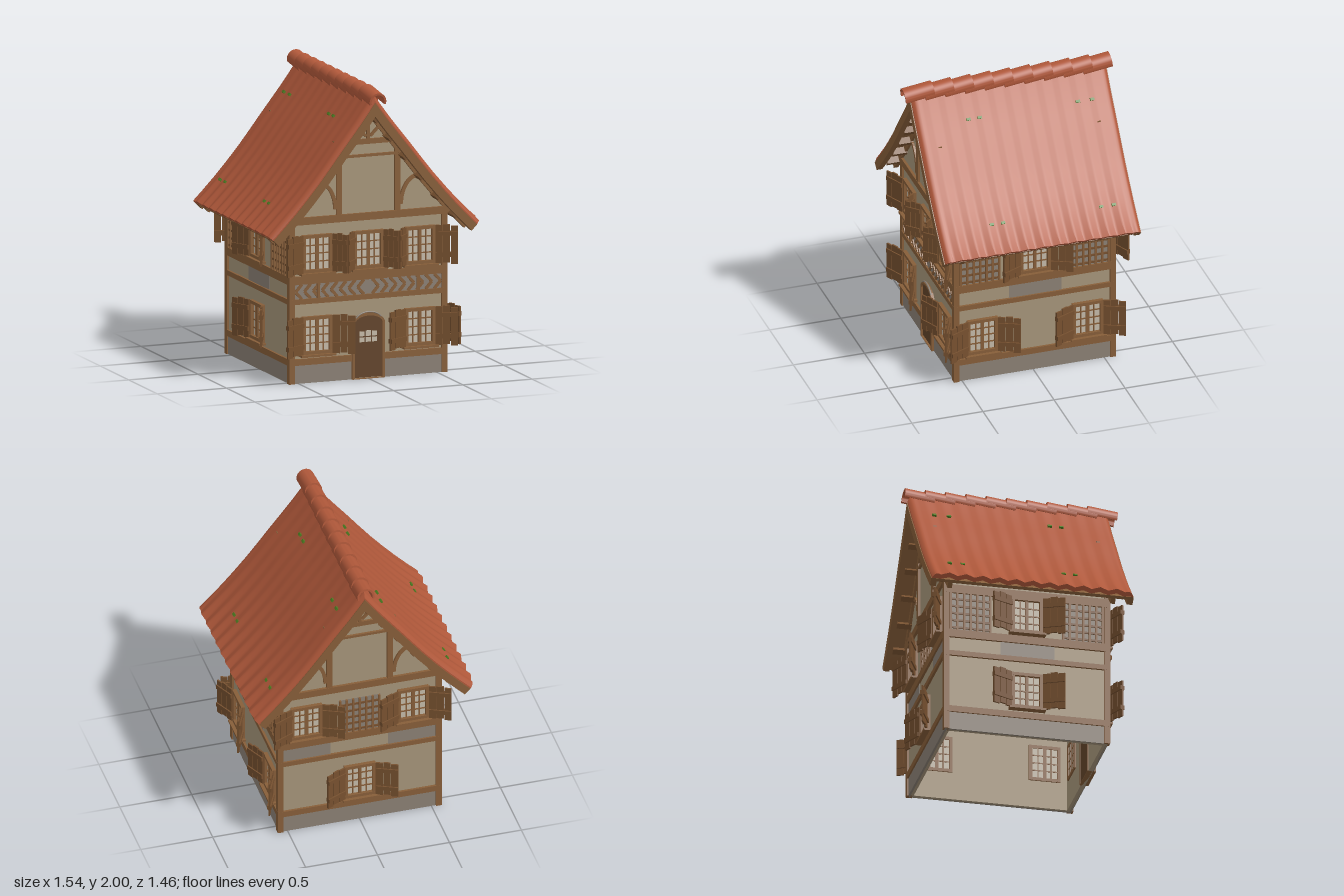
import * as THREE from 'three';
import { toCreasedNormals } from 'three/addons/utils/BufferGeometryUtils.js';

const mat = (name, color, side = THREE.FrontSide) => {
  const m = new THREE.MeshStandardMaterial({ color, side });
  m.name = name;
  return m;
};
const plaster = mat('plaster', 0xa6957a), stone = mat('stone', 0x8b8074), timber = mat('timber', 0x875e39);
const shutterWood = mat('shutterWood', 0x76502f), doorWood = mat('doorWood', 0x624329);
const tile = mat('roofTile', 0xb0583a, THREE.DoubleSide), glass = mat('glass', 0xc4baa8), moss = mat('moss', 0x4f7d22);

const H = 0.555; // half width of the walls

function add(parent, name, geo, material, x = 0, y = 0, z = 0) {
  const m = new THREE.Mesh(geo, material);
  m.name = name;
  m.position.set(x, y, z);
  parent.add(m);
  return m;
}
// box given by its lower and upper limits
const block = (p, name, m, x0, x1, y0, y1, z0, z1) =>
  add(p, name, new THREE.BoxGeometry(x1 - x0, y1 - y0, z1 - z0), m, (x0 + x1) / 2, (y0 + y1) / 2, (z0 + z1) / 2);
const extrude = (pts, depth) =>
  new THREE.ExtrudeGeometry(new THREE.Shape(pts), { depth, bevelEnabled: false, curveSegments: 12 });
const group = (parent, name) => {
  const g = new THREE.Group();
  g.name = name;
  parent.add(g);
  return g;
};
// timber between two points on a wall face
function beam(p, name, x0, y0, x1, y1, w, z = H + 0.004) {
  const m = add(p, name, new THREE.BoxGeometry(Math.hypot(x1 - x0, y1 - y0), w, 0.024), timber, (x0 + x1) / 2, (y0 + y1) / 2, z);
  m.rotation.z = Math.atan2(y1 - y0, x1 - x0);
}

// concave roof slope, from ridge to eave
const slope = new THREE.SplineCurve([[0, 1.95], [0.12, 1.785], [0.27, 1.595], [0.43, 1.39], [0.6, 1.195], [0.755, 1.035]]
  .map(([x, y]) => new THREE.Vector2(x, y)));
function slopeAt(t, d = 0) {
  const p = slope.getPoint(t), k = slope.getTangent(t);
  const n = new THREE.Vector2(-k.y, k.x);
  return { p: t === 0 ? new THREE.Vector2(0, p.y - d / n.y) : p.addScaledVector(n, -d), angle: Math.atan2(k.y, k.x) };
}
const N = 10;
// whole roof line at depth d(t), from left eave to right eave
function roofLine(d) {
  const right = [];
  for (let i = 0; i <= N; i++) right.push(slopeAt(i / N, d(i / N)).p);
  return [...right.slice(1).reverse().map(p => new THREE.Vector2(-p.x, p.y)), ...right];
}
const roofBand = (d0, d1, depth) => extrude([...roofLine(() => d0), ...roofLine(() => d1).reverse()], depth);

// tiled skin: waves across z that grow towards the eaves, rounded at both verges
function tileGeometry(half) {
  const S = 96, pos = [], idx = [], C = 2 * N + 1;
  for (let s = 0; s <= S; s++) {
    const z = -half + 2 * half * s / S;
    const wave = Math.abs(((s / 8) % 1) * 2 - 1);
    const e = Math.max(0, 1 - (half - Math.abs(z)) / 0.045);
    const drop = 0.022 * (1 - Math.sqrt(1 - e * e));
    const top = roofLine(t => drop - 0.02 * wave * (0.2 + 0.8 * t ** 4) * (1 - e));
    const low = roofLine(t => 0.032 - 0.018 * wave * t ** 4 * (1 - e)).reverse();
    for (const p of [...top, ...low]) pos.push(p.x, p.y, z);
  }
  const R = 2 * C;
  for (let s = 0; s < S; s++) for (let i = 0; i < R; i++) {
    const a = s * R + i, b = s * R + (i + 1) % R;
    idx.push(a, a + R, b, b, a + R, b + R);
  }
  for (const [o, flip] of [[0, false], [S * R, true]]) for (let i = 0; i < C - 1; i++) {
    const a = o + i, b = o + i + 1, c = o + R - 2 - i, d = o + R - 1 - i;
    idx.push(...(flip ? [a, c, b, a, d, c] : [a, b, c, a, c, d]));
  }
  const g = new THREE.BufferGeometry();
  g.setAttribute('position', new THREE.Float32BufferAttribute(pos, 3));
  g.setIndex(idx);
  return toCreasedNormals(g, 0.6);
}

// plank shutter, hinged at x on side s, swung open
function shutter(parent, x, s, width, angle) {
  const g = group(parent, 'shutter');
  g.position.set(x, 0, H + 0.025);
  g.rotation.y = -s * angle;
  const w = width / 3;
  [0, 0.006, -0.004].forEach((dy, i) =>
    add(g, 'shutterBoard', new THREE.BoxGeometry(w - 0.004, 0.26, 0.012), shutterWood, s * (i + 0.5) * w, 0.125 + dy, 0));
  for (const y of [0.055, 0.2])
    add(g, 'shutterBatten', new THREE.BoxGeometry(width * 0.96, 0.03, 0.03), shutterWood, s * width / 2, y, 0);
}

// window with its lower edge at y; narrow lists the sides with a short shutter
function windowUnit(face, x, y, narrow = []) {
  const g = group(face, 'window');
  g.position.set(x, y, 0);
  block(g, 'windowGlass', glass, -0.095, 0.095, 0.005, 0.245, H - 0.033, H + 0.003);
  for (const s of [-1, 1]) {
    const sx = s * 0.097;
    block(g, 'windowJamb', timber, sx - 0.011, sx + 0.011, 0, 0.25, H - 0.04, H + 0.025);
    block(g, 'muntin', timber, s * 0.046 - 0.004, s * 0.046 + 0.004, 0, 0.25, H - 0.037, H + 0.01);
    const short = narrow.includes(s);
    shutter(g, s * 0.106, s, short ? 0.108 : 0.155, short ? 0.78 : 0.43);
  }
  block(g, 'mullion', timber, -0.011, 0.011, 0, 0.25, H - 0.038, H + 0.016);
  for (const h of [0.07, 0.125, 0.18]) block(g, 'muntin', timber, -0.09, 0.09, h - 0.004, h + 0.004, H - 0.036, H + 0.009);
  block(g, 'windowHead', timber, -0.108, 0.108, 0.232, 0.254, H - 0.039, H + 0.026);
  block(g, 'windowFoot', timber, -0.108, 0.108, -0.004, 0.018, H - 0.039, H + 0.026);
  block(g, 'windowSill', timber, -0.125, 0.125, -0.018, -0.003, H - 0.01, H + 0.05);
}

function lattice(face, x) {
  const g = group(face, 'lattice');
  g.position.set(x, 0.72, 0);
  block(g, 'latticeBacking', stone, -0.145, 0.145, 0, 0.28, H - 0.033, H + 0.003);
  for (let i = 0; i < 7; i++) block(g, 'latticeUpright', timber, -0.142 + i * 0.045, -0.128 + i * 0.045, 0, 0.28, H, H + 0.016);
  for (let i = 0; i < 5; i++) block(g, 'latticeRail', shutterWood, -0.14, 0.14, 0.022 + i * 0.052, 0.036 + i * 0.052, H, H + 0.011);
}

// beams, plinth and stone panels of one storeyed face
function faceFrame(face, isFront, panels) {
  const spans = isFront ? [[-0.56, -0.115], [0.115, 0.56]] : [[-0.56, 0.56]];
  for (const [a, b] of spans) {
    block(face, 'plinth', stone, a, b, 0, 0.13, H - 0.01, H + 0.005);
    block(face, 'sillBeam', timber, a, b, 0.125, 0.168, H - 0.01, H + 0.016);
  }
  block(face, 'floorBeam', timber, -0.56, 0.56, 0.54, 0.575, H - 0.01, H + 0.016);
  block(face, 'upperBeam', timber, -0.56, 0.56, 0.675, 0.73, H - 0.01, H + 0.016);
  block(face, 'cornerPost', timber, H - 0.025, H + 0.015, 0, 1.13, H - 0.025, H + 0.015);
  for (const [a, b] of panels) block(face, 'stonePanel', stone, a, b, 0.575, 0.675, H - 0.004, H + 0.004);
}

function gable(face) {
  const top = roofLine(() => 0.045).filter(p => Math.abs(p.x) < H - 0.01).reverse();
  const pts = [[-H, 0], [H, 0], [H, 1.16]].map(([x, y]) => new THREE.Vector2(x, y));
  add(face, 'gableWall', extrude([...pts, ...top, new THREE.Vector2(-H, 1.16)], 0.03), plaster, 0, 0, H - 0.03);
  add(face, 'gableRafters', roofBand(0.04, 0.09, 0.03), timber, 0, 0, H - 0.012);
  add(face, 'bargeBoard', roofBand(0.03, 0.085, 0.04), timber, 0, 0, 0.653);
  beam(face, 'gableTie', -0.61, 1.105, 0.61, 1.105, 0.05, H + 0.006);
  beam(face, 'collarBeam', -0.25, 1.615, 0.25, 1.615, 0.035);
  beam(face, 'thinCollar', -0.2, 1.52, 0.2, 1.52, 0.018);
  beam(face, 'kingPost', 0, 1.62, 0, 1.86, 0.022);
  for (const s of [-1, 1]) {
    beam(face, 'gablePost', s * 0.21, 1.12, s * 0.21, 1.6, 0.04);
    beam(face, 'smallBrace', s * 0.015, 1.65, s * 0.1, 1.735, 0.018);
    const outer = new THREE.EllipseCurve(0, 0, 0.135, 0.2, 0, Math.PI / 2).getPoints(10);
    const inner = new THREE.EllipseCurve(0, 0, 0.11, 0.175, 0, Math.PI / 2).getPoints(10).reverse();
    const arc = [...outer, ...inner].map(p => new THREE.Vector2(s * (p.x - 0.36), p.y + 1.17));
    add(face, 'curvedBrace', extrude(arc, 0.016), timber, 0, 0, H - 0.002);
  }
}

function door(face) {
  const g = group(face, 'door');
  const arch = (r, spring, foot, rise) => {
    const pts = [new THREE.Vector2(-r, foot), new THREE.Vector2(r, foot)];
    for (let i = 0; i <= 12; i++) pts.push(new THREE.Vector2(r * Math.cos(i * Math.PI / 12), spring + rise * Math.sin(i * Math.PI / 12)));
    return pts;
  };
  const frame = new THREE.Shape(arch(0.118, 0.375, 0, 0.072));
  frame.holes.push(new THREE.Path(arch(0.1, 0.375, 0.004, 0.055)));
  add(g, 'doorFrame', new THREE.ExtrudeGeometry(frame, { depth: 0.06, bevelEnabled: false }), timber, 0, 0, H - 0.038);
  add(g, 'doorLeaf', extrude(arch(0.102, 0.375, 0.008, 0.056), 0.045), doorWood, 0, 0, H - 0.036);
  const hood = new THREE.TorusGeometry(0.1, 0.007, 6, 14, Math.PI * 0.7);
  hood.rotateZ(Math.PI * 0.15).scale(1, 0.7, 1);
  add(g, 'doorHood', hood, stone, 0, 0.385, H + 0.016);
  for (const x of [-0.045, 0, 0.045]) for (const y of [0.265, 0.305])
    block(g, 'doorPane', glass, x - 0.018, x + 0.018, y - 0.016, y + (x === 0 && y > 0.3 ? 0.022 : 0.016), H + 0.006, H + 0.012);
}

export function createModel() {
  const model = new THREE.Group();
  model.name = 'timberFramedHouse';
  const body = group(model, 'body');
  body.position.z = -0.01;

  // four faces, each built facing +z and turned into place
  const [front, right, back, left] = ['front', 'right', 'back', 'left'].map((n, i) => {
    const f = group(body, n + 'Face');
    f.rotation.y = i * Math.PI / 2;
    return f;
  });
  faceFrame(front, true, [[-0.54, 0.54]]);
  faceFrame(right, false, [[-0.18, 0.19]]);
  faceFrame(back, false, [[-0.54, -0.2], [0.2, 0.54]]);
  faceFrame(left, false, [[-0.18, 0.19]]);
  gable(front);
  gable(back);
  door(front);

  // front windows and herringbone frieze
  for (const s of [-1, 1]) {
    windowUnit(front, s * 0.37, 0.2);
    windowUnit(front, s * 0.37, 0.755, [-s]);
    beam(front, 'friezePost', s * 0.36, 0.575, s * 0.36, 0.675, 0.02);
    for (let i = 0; i < 8; i++) {
      const x = s * (0.03 + i * 0.064);
      beam(front, 'friezeBrace', x, 0.575, x + s * 0.045, 0.625, 0.02, H);
      beam(front, 'friezeBrace', x + s * 0.045, 0.625, x, 0.675, 0.02, H);
    }
  }
  windowUnit(front, 0, 0.755, [-1, 1]);

  // back and side openings
  for (const s of [-1, 1]) {
    windowUnit(back, s * 0.37, 0.755);
    windowUnit(right, s * 0.37, 0.2);
    for (const f of [right, left]) lattice(f, s * 0.385);
  }
  lattice(back, 0);
  windowUnit(back, 0, 0.2);
  windowUnit(left, 0, 0.2);
  for (const f of [right, left]) {
    windowUnit(f, 0, 0.755);
    block(f, 'sideWall', plaster, -0.53, 0.53, 0, 1.16, H - 0.03, H);
    block(f, 'wallPlate', timber, -0.56, 0.56, 1.0, 1.06, H - 0.01, H + 0.016);
  }

  // roof: tiles, wooden deck, purlins and moss
  const roof = group(body, 'roof');
  add(roof, 'roofTiles', tileGeometry(0.687), tile);
  add(roof, 'roofDeck', roofBand(0.031, 0.05, 1.34), timber, 0, 0, -0.67);
  for (const s of [-1, 1]) {
    const onSlope = (name, geo, m, t, d, z) => {
      const { p, angle } = slopeAt(t, d);
      add(roof, name, geo, m, s * p.x, p.y, z).rotation.z = s * angle;
    };
    for (const t of [0.16, 0.3, 0.44, 0.58, 0.72, 0.86])
      onSlope('purlin', new THREE.BoxGeometry(0.035, 0.045, 1.31), shutterWood, t, 0.076, 0);
    for (const [t, z] of [[0.24, -0.54], [0.24, -0.44], [0.24, 0.25], [0.24, 0.33], [0.81, -0.54], [0.81, -0.45], [0.81, 0.24], [0.81, 0.32]])
      onSlope('mossTuft', new THREE.BoxGeometry(0.018, 0.016, 0.028), moss, t, -0.008, z);
  }

  // overlapping half-round ridge tiles
  const cap = new THREE.Shape();
  cap.absarc(0, 0, 0.06, -0.35, Math.PI + 0.35, false);
  cap.absarc(0, 0, 0.046, Math.PI + 0.35, -0.35, true);
  const capGeo = toCreasedNormals(new THREE.ExtrudeGeometry(cap, { depth: 0.205, bevelEnabled: false, curveSegments: 14 }).translate(0, 0, -0.1025), 0.6);
  for (let i = 0; i < 10; i++)
    add(model, 'ridgeTile', capGeo, tile, 0, 1.927, -0.625 + i * 0.1389).rotation.x = 0.13;
  return model;
}
